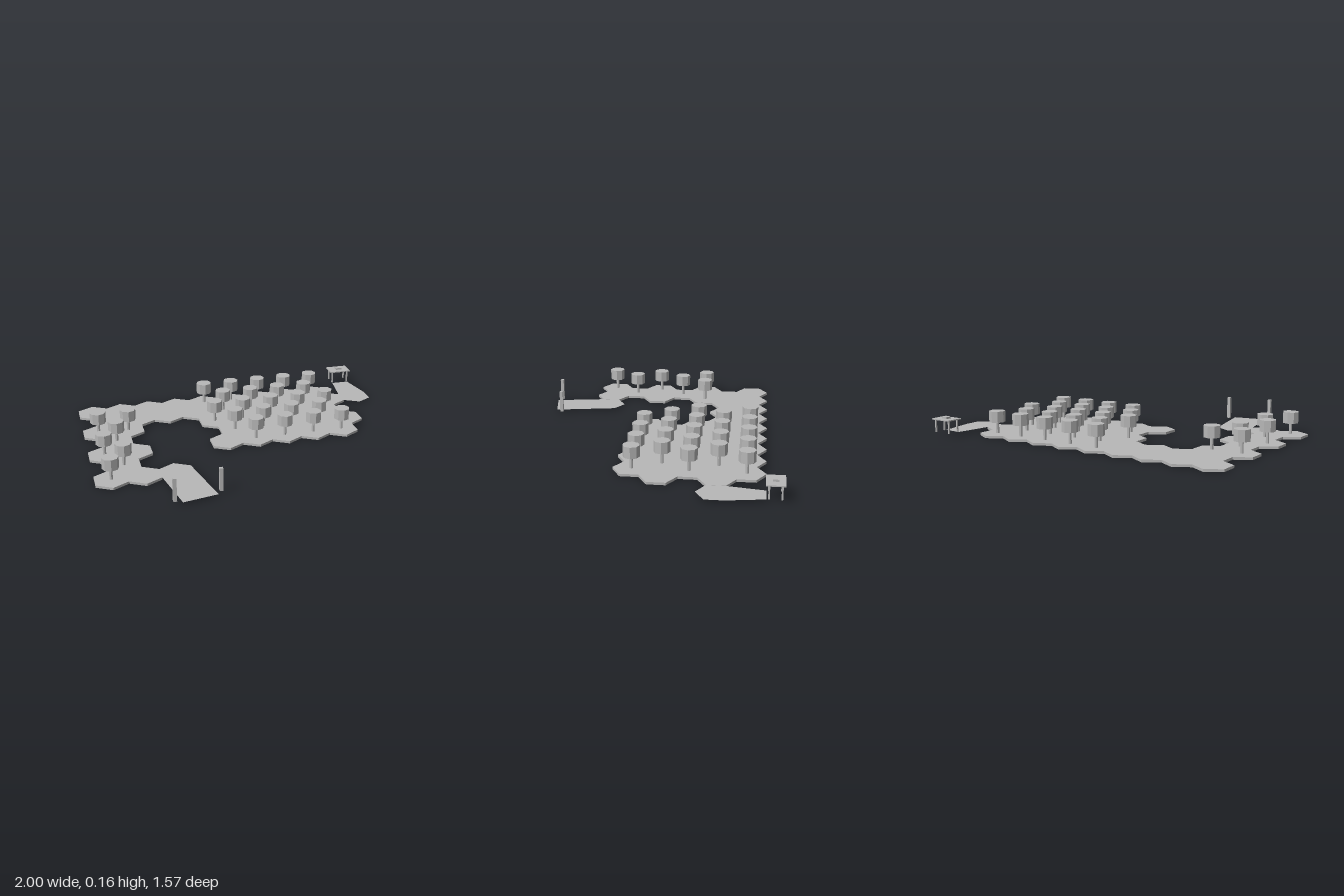
import * as THREE from 'three';

const DX = 2 / 10.5;              // hexagon width
const R = DX / Math.sqrt(3);      // hexagon corner radius
const FLOOR = 0.015;              // top of the tiled ground
const Z0 = -0.58;

// Column indices of ground tiles and of trees, row by row from the back.
const range = (a, b) => Array.from({ length: b - a + 1 }, (_, i) => a + i);
const TILES = [
  range(0, 8), range(0, 8), [0, 1, ...range(4, 8)], [0, ...range(4, 8)],
  [0, 1, ...range(4, 8)], [0], [0, 1],
];
const TREES = [
  range(4, 8), range(4, 7), [0, 1, ...range(4, 8)], [0, ...range(4, 7)],
  [0, ...range(5, 8)], [0], [0],
];
const centre = (row, k) => [-1 + DX * (0.5 + k + (row % 2) / 2), Z0 + row * R * 1.5];

// Outer outline of all tiles: keep the edges no neighbour shares, then chain them.
function groundOutline() {
  const key = (p) => `${Math.round(p[0] * 1000 / 5)},${Math.round(p[1] * 1000 / 5)}`;
  const edges = new Map();
  TILES.forEach((cols, row) => cols.forEach((k) => {
    const [x, z] = centre(row, k);
    const corner = (i) => {
      const a = Math.PI / 6 + i * Math.PI / 3;
      return [x + R * Math.cos(a), z + R * Math.sin(a)];
    };
    for (let i = 0; i < 6; i++) {
      const a = corner(i), b = corner(i + 1);
      const back = `${key(b)}>${key(a)}`;
      if (edges.has(back)) edges.delete(back);
      else edges.set(`${key(a)}>${key(b)}`, [a, b]);
    }
  }));
  const next = new Map([...edges.values()].map(([a, b]) => [key(a), b]));
  const start = [...edges.values()][0][0];
  const points = [];
  let p = start;
  do {
    points.push(new THREE.Vector2(p[0], p[1]));
    p = next.get(key(p));
  } while (p && key(p) !== key(start) && points.length < 400);
  return points;
}

export function createModel() {
  const model = new THREE.Group();
  model.name = 'hexagonPark';
  const grey = new THREE.MeshStandardMaterial({ color: 0xb8b8b8, flatShading: true });
  grey.name = 'plainGrey';
  const greySheet = new THREE.MeshStandardMaterial({ color: 0xb8b8b8, side: THREE.DoubleSide });
  greySheet.name = 'plainGrey';

  const add = (parent, name, geometry, x = 0, y = 0, z = 0, material = grey) => {
    const mesh = new THREE.Mesh(geometry, material);
    mesh.name = name;
    mesh.position.set(x, y, z);
    parent.add(mesh);
    return mesh;
  };

  // Tiled ground slab
  const slab = new THREE.ExtrudeGeometry(new THREE.Shape(groundOutline()), {
    depth: FLOOR, bevelEnabled: false,
  });
  slab.rotateX(Math.PI / 2);
  add(model, 'ground', slab, 0, FLOOR, 0);

  // Flat sheets for the two paths
  const path = (name, corners) => {
    const shape = new THREE.Shape(corners.map(([x, z]) => new THREE.Vector2(x, -z)));
    const sheet = new THREE.ShapeGeometry(shape);
    sheet.rotateX(-Math.PI / 2);
    add(model, name, sheet, 0, FLOOR - 0.001, 0, greySheet);
  };
  path('frontPath', [
    [-0.619, 0.465], [-0.56, 0.782], [-0.352, 0.742], [-0.429, 0.355],
    [-0.524, 0.3], [-0.619, 0.355],
  ]);
  path('tablePath', [
    [0.81, -0.36], [0.905, -0.307], [1, -0.36], [1, -0.47],
    [0.96, -0.69], [0.845, -0.69], [0.81, -0.47],
  ]);

  // Trees
  const trunk = new THREE.CylinderGeometry(0.01, 0.01, 0.075, 8);
  const crown = new THREE.CylinderGeometry(0.05, 0.05, 0.069, 8);
  TREES.forEach((cols, row) => cols.forEach((k) => {
    const [x, z] = centre(row, k);
    const tree = new THREE.Group();
    tree.name = 'tree';
    tree.position.set(x, FLOOR, z);
    add(tree, 'trunk', trunk, 0, 0.0375, 0);
    add(tree, 'crown', crown, 0, 0.1065, 0);
    model.add(tree);
  }));

  // Gate posts at the end of the front path
  const post = new THREE.BoxGeometry(0.021, 0.14, 0.021);
  add(model, 'rightGatePost', post, -0.6, FLOOR + 0.07, 0.757);
  add(model, 'leftGatePost', post, -0.327, FLOOR + 0.07, 0.702);

  // Table with a small box on top
  const table = new THREE.Group();
  table.name = 'table';
  table.position.set(0.903, 0, -0.737);
  add(table, 'tableTop', new THREE.BoxGeometry(0.146, 0.007, 0.106), 0, 0.0985, 0);
  add(table, 'smallBox', new THREE.BoxGeometry(0.042, 0.012, 0.034), 0, 0.108, 0);
  const leg = new THREE.BoxGeometry(0.009, 0.08, 0.009);
  for (const sx of [-1, 1]) {
    for (const sz of [-1, 1]) add(table, 'tableLeg', leg, sx * 0.056, 0.055, sz * 0.035);
  }
  model.add(table);
  return model;
}
